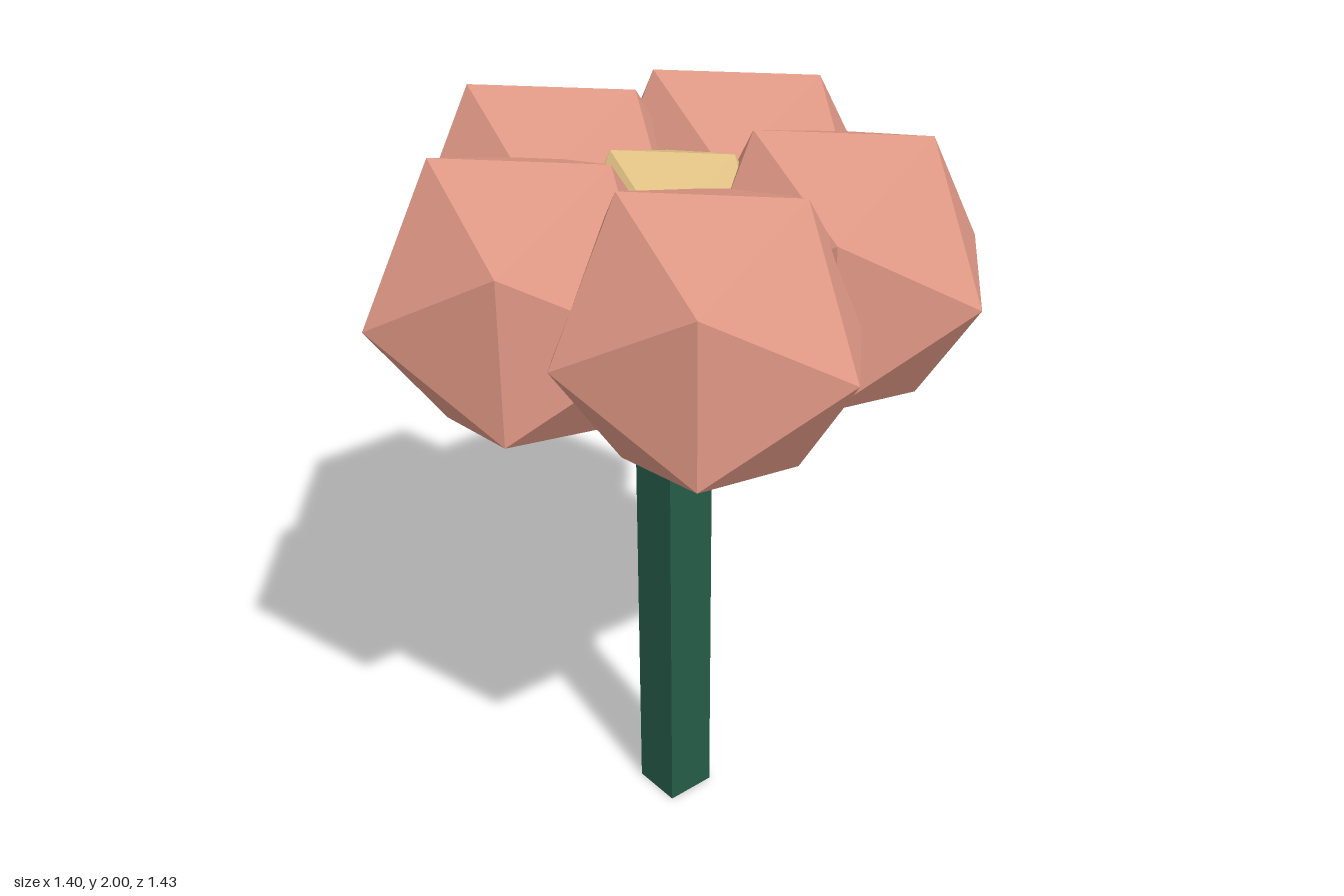
import * as THREE from 'three';

const AXIS_X = -0.038; // stem axis, offset so the five-petal ring is centred

export function createModel() {
  const flower = new THREE.Group();
  flower.name = 'flower';

  const material = (name, color) => {
    const m = new THREE.MeshStandardMaterial({ color, flatShading: true });
    m.name = name;
    return m;
  };
  const petalPink = material('petal pink', 0xe09885);
  const pollenYellow = material('pollen yellow', 0xe2c284);
  const stemGreen = material('stem green', 0x265c48);

  const add = (name, geometry, mat, x, y, z) => {
    const mesh = new THREE.Mesh(geometry, mat);
    mesh.name = name;
    mesh.position.set(x, y, z);
    flower.add(mesh);
  };

  // Four-sided stem, running up into the flower centre
  const stemHeight = 1.59;
  add('stem', new THREE.CylinderGeometry(0.099, 0.099, stemHeight, 4), stemGreen, AXIS_X, stemHeight / 2, 0);

  // Faceted flower centre
  add('flowerCentre', new THREE.IcosahedronGeometry(0.28, 0), pollenYellow, AXIS_X, 1.7, 0);

  // Ring of five faceted petals, all facing the same way
  const petal = new THREE.IcosahedronGeometry(0.397, 0);
  const ringRadius = 0.398;
  for (let i = 0; i < 5; i++) {
    const a = (i / 5) * Math.PI * 2;
    add(`petal${i + 1}`, petal, petalPink, AXIS_X + Math.cos(a) * ringRadius, 1.6625, Math.sin(a) * ringRadius);
  }

  return flower;
}
